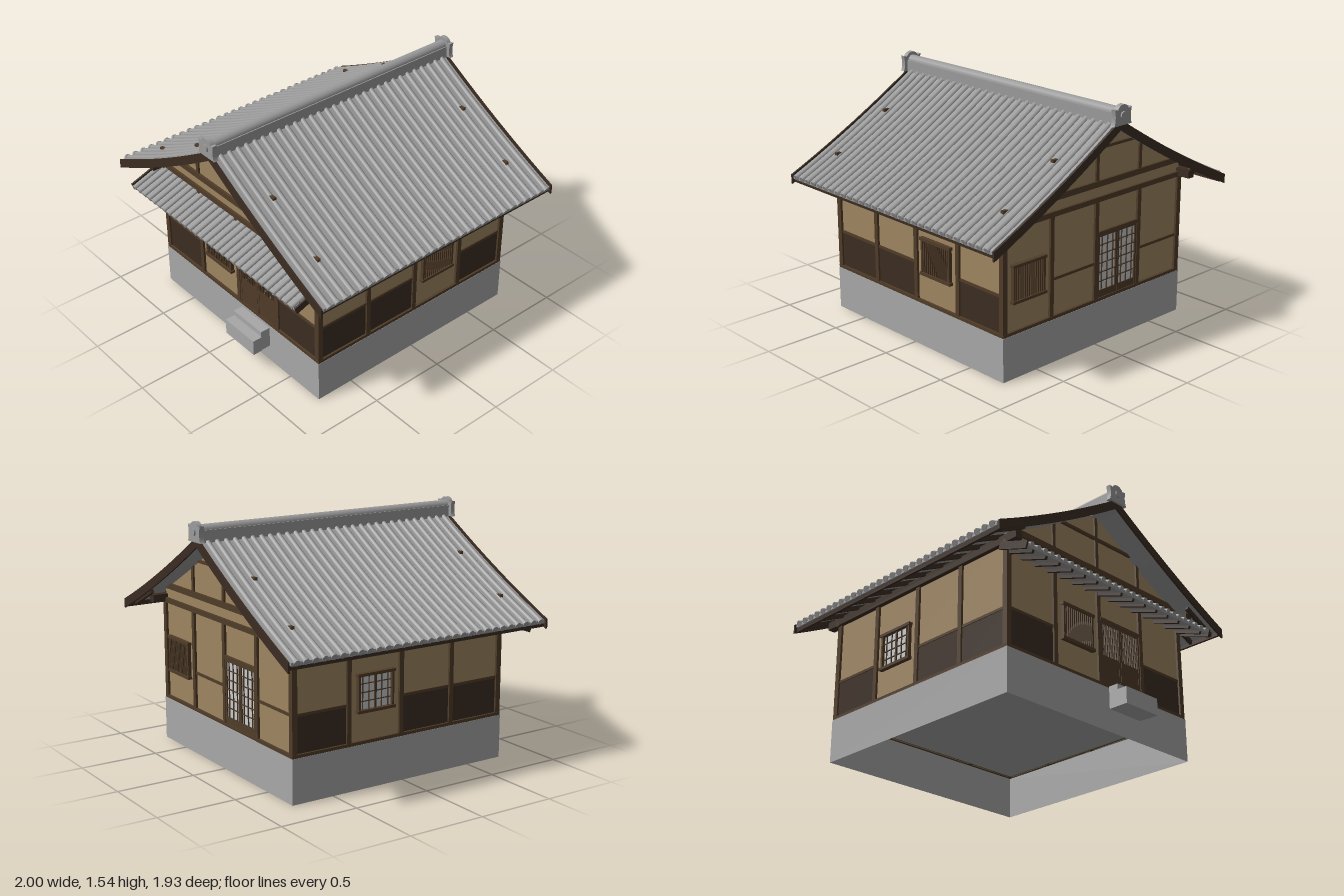
import * as THREE from 'three';

const mat = (name, color, side = THREE.FrontSide) => {
  const m = new THREE.MeshStandardMaterial({ color, side });
  m.name = name;
  return m;
};

export function createModel() {
  const stone = mat('stone', 0xa8a8a8, THREE.DoubleSide);
  const tile = mat('roof tile', 0x9b9b9b, THREE.DoubleSide);
  const plaster = mat('plaster', 0x9e8561);
  const beamWood = mat('beam wood', 0x503c28);
  const darkWood = mat('dark wood', 0x3b2c22);
  const paper = mat('paper', 0xc8cacc);

  const root = new THREE.Group();
  root.name = 'house';
  const house = new THREE.Group();
  house.name = 'building';
  house.position.z = -0.0125;
  root.add(house);

  const add = (parent, name, geo, material, x = 0, y = 0, z = 0) => {
    const m = new THREE.Mesh(geo, material);
    m.name = name;
    m.position.set(x, y, z);
    parent.add(m);
    return m;
  };
  // Box given by its limits
  const box = (parent, name, material, x0, x1, y0, y1, z0, z1) =>
    add(parent, name, new THREE.BoxGeometry(x1 - x0, y1 - y0, z1 - z0), material,
      (x0 + x1) / 2, (y0 + y1) / 2, (z0 + z1) / 2);

  const BASE = 0.275, W = 0.75;
  const roofY = x => 1.45 - 0.63 * Math.abs(x) + 0.085 * x * x;

  // Outline that follows the roof curve, between two offsets below it
  const roofBand = (half, top, bottom) => {
    const up = [], down = [];
    for (let i = -10; i <= 10; i++) {
      const x = (i / 10) * half;
      up.push(new THREE.Vector2(x, roofY(x) - top));
      down.unshift(new THREE.Vector2(x, roofY(x) - bottom));
    }
    return new THREE.Shape([...up, ...down]);
  };
  const extrude = (shape, depth) => new THREE.ExtrudeGeometry(shape, { depth, bevelEnabled: false, curveSegments: 10 });

  // Hollow foundation and floor
  for (let i = 0; i < 4; i++) {
    const holder = new THREE.Group();
    holder.name = 'foundationSide';
    holder.rotation.y = i * Math.PI / 2;
    house.add(holder);
    add(holder, 'foundationWall', new THREE.PlaneGeometry(1.535, BASE), stone, 0, BASE / 2, 0.7675);
  }
  const floor = add(house, 'floor', new THREE.PlaneGeometry(1.535, 1.535), stone, 0, BASE, 0);
  floor.rotation.x = -Math.PI / 2;

  // Entrance steps
  box(house, 'upperStep', stone, 0.05, 0.32, 0.135, 0.275, 0.78, 0.845);
  box(house, 'lowerStep', stone, 0.05, 0.325, 0.135, 0.24, 0.845, 0.91);

  // Bay fillings, each centred on u, facing local +z
  const wainscot = (g, u) => {
    box(g, 'wainscot', darkWood, u - 0.175, u + 0.175, 0.29, 0.52, W - 0.01, W + 0.003);
    box(g, 'wainscotRail', beamWood, u - 0.175, u + 0.175, 0.515, 0.532, W - 0.01, W + 0.008);
  };
  const midRail = (g, u) => box(g, 'middleRail', beamWood, u - 0.175, u + 0.175, 0.515, 0.532, W - 0.01, W + 0.008);
  const bars = (g, x0, x1, y0, y1, n, width, z) => {
    for (let i = 0; i < n; i++) {
      const x = x0 + (x1 - x0) * (i + 0.5) / n;
      box(g, 'latticeBar', beamWood, x - width / 2, x + width / 2, y0, y1, W, z);
    }
  };
  const windowFrame = (g, u) => {
    box(g, 'windowPaper', paper, u - 0.12, u + 0.12, 0.48, 0.69, W, W + 0.004);
    for (const y of [0.465, 0.685]) box(g, 'windowRail', beamWood, u - 0.135, u + 0.135, y, y + 0.018, W, W + 0.028);
    for (const s of [-0.12, 0.12]) box(g, 'windowStile', beamWood, u + s - 0.007, u + s + 0.007, 0.48, 0.69, W, W + 0.022);
  };
  const slatWindow = (g, u) => {
    windowFrame(g, u);
    bars(g, u - 0.113, u + 0.113, 0.48, 0.69, 13, 0.008, W + 0.02);
  };
  const grid = (g, x0, x1, y0, y1, cols, rows) => {
    bars(g, x0, x1, y0, y1, cols, 0.005, W + 0.011);
    for (let i = 1; i < rows; i++) {
      const y = y0 + (y1 - y0) * i / rows;
      box(g, 'latticeRail', beamWood, x0, x1, y - 0.0025, y + 0.0025, W, W + 0.011);
    }
  };
  const gridWindow = (g, u) => {
    windowFrame(g, u);
    grid(g, u - 0.113, u + 0.113, 0.48, 0.69, 5, 4);
    box(g, 'windowMeetingStile', beamWood, u - 0.006, u + 0.006, 0.48, 0.69, W, W + 0.014);
  };
  // Pair of sliding doors; paper begins at height low
  const doors = (g, u, low, fill) => {
    box(g, 'doorLintel', beamWood, u - 0.175, u + 0.175, 0.7, 0.72, W, W + 0.016);
    for (const s of [-1, 1]) {
      const x0 = u + s * 0.086 - 0.085, x1 = x0 + 0.17;
      box(g, 'doorLowerPanel', beamWood, x0, x1, 0.29, low, W, W + 0.01);
      box(g, 'doorPaper', paper, x0, x1, low, 0.7, W, W + 0.004);
      box(g, 'doorTopRail', beamWood, x0, x1, 0.685, 0.7, W, W + 0.012);
      for (const x of [x0, x1 - 0.014]) box(g, 'doorStile', beamWood, x, x + 0.014, 0.29, 0.7, W, W + 0.012);
      fill(x0 + 0.014, x1 - 0.014);
    }
  };
  const slatDoor = (g, u) => doors(g, u, 0.48, (a, b) => bars(g, a, b, 0.48, 0.69, 9, 0.006, W + 0.011));
  const gridDoor = (g, u) => doors(g, u, 0.34, (a, b) => grid(g, a, b, 0.34, 0.69, 3, 6));

  // Four sides, bays listed from left to right as seen from outside
  const sides = [
    ['frontWall', 0, [wainscot, slatWindow, slatDoor, wainscot]],
    ['rightWall', Math.PI / 2, [wainscot, wainscot, slatWindow, wainscot]],
    ['backWall', Math.PI, [slatWindow, midRail, gridDoor, midRail]],
    ['leftWall', -Math.PI / 2, [wainscot, gridWindow, wainscot, wainscot]],
  ];
  sides.forEach(([name, angle, bays], k) => {
    const g = new THREE.Group();
    g.name = name;
    g.rotation.y = angle;
    house.add(g);
    bays.forEach((bay, i) => bay(g, (i - 1.5) * 0.375));
    for (let i = -2; i <= 2; i++) {
      box(g, 'post', beamWood, i * 0.375 - 0.015, i * 0.375 + 0.015, BASE, 0.93, W - 0.02, W + 0.015);
    }
    box(g, 'sill', beamWood, -0.765, 0.765, BASE, 0.295, W - 0.02, W + 0.016);
    if (k % 2) {
      box(g, 'plasterWall', plaster, -W, W, BASE, 0.96, W - 0.02, W);
      return;
    }
    // Gable wall with its timber frame
    const shape = roofBand(W, 0.03, 0.03);
    const pts = shape.getPoints().slice(0, 21);
    const gable = new THREE.Shape([new THREE.Vector2(-W, BASE), ...pts, new THREE.Vector2(W, BASE)]);
    add(g, 'gablePlaster', extrude(gable, 0.02), plaster, 0, 0, W - 0.02);
    for (const [half, y0, y1] of [[0.78, 0.91, 0.942], [0.765, 1.005, 1.042], [0.378, 1.235, 1.252]]) {
      box(g, 'gableBeam', beamWood, -half, half, y0, y1, W - 0.005, W + 0.016);
    }
    for (const [x, top] of [[-0.375, 1.21], [0, 1.41], [0.375, 1.21]]) {
      box(g, 'gablePost', beamWood, x - 0.012, x + 0.012, 1.03, top, W - 0.01, W + 0.012);
    }
  });

  // Main roof: curved slab, gable boards, tile rolls
  add(house, 'roofSlab', extrude(roofBand(0.985, 0.008, 0.028), 1.82), tile, 0, 0, -0.91);
  for (const z of [-0.932, 0.92]) {
    add(house, 'bargeboard', extrude(roofBand(0.988, 0.002, 0.062), 0.012), darkWood, 0, 0, z);
  }
  const ROWS = 30, pitch = 1.81 / ROWS;
  const capGeo = new THREE.CylinderGeometry(0.02, 0.02, 0.02, 10);
  for (const s of [-1, 1]) {
    const pts = [0.03, 0.25, 0.5, 0.75, 0.985].map(x => new THREE.Vector3(s * x, roofY(x) - 0.01, 0));
    const rollGeo = new THREE.TubeGeometry(new THREE.CatmullRomCurve3(pts), 8, 0.017, 8);
    for (let i = 0; i < ROWS; i++) {
      const z = -0.905 + (i + 0.5) * pitch;
      add(house, 'tileRoll', rollGeo, tile, 0, 0, z);
      const cap = add(house, 'tileRollEnd', capGeo, tile, s * 0.983, roofY(0.983) - 0.01, z);
      cap.rotation.z = s * (Math.PI / 2 - 0.43);
    }
    // Eave board, purlin and rafters
    const e = box(house, 'eaveBoard', darkWood, -0.008, 0.008, 0.86, 0.888, -0.918, 0.918);
    e.position.x = s * 0.965;
    const p = box(house, 'purlin', darkWood, -0.025, 0.025, 0.915, 0.965, -0.85, 0.85);
    p.position.x = s * 0.755;
    for (let i = 0; i < 12; i++) {
      const r = add(house, 'rafter', new THREE.BoxGeometry(0.26, 0.025, 0.022), darkWood,
        s * 0.845, roofY(0.845) - 0.042, -0.86 + i * 1.72 / 11);
      r.rotation.z = -s * 0.455;
    }
  }

  // Ridge with end ornaments
  box(house, 'ridge', tile, -0.042, 0.042, 1.39, 1.49, -0.93, 0.93);
  const ridgeCap = add(house, 'ridgeCap', new THREE.CylinderGeometry(0.036, 0.036, 1.86, 14), tile, 0, 1.486, 0);
  ridgeCap.rotation.x = Math.PI / 2;
  const orn = new THREE.Shape();
  orn.moveTo(-0.075, 1.42);
  orn.quadraticCurveTo(-0.055, 1.45, -0.07, 1.52);
  orn.lineTo(-0.05, 1.515);
  orn.absarc(0, 1.492, 0.05, Math.PI * 0.85, Math.PI * 0.15, true);
  orn.lineTo(0.07, 1.52);
  orn.quadraticCurveTo(0.055, 1.45, 0.075, 1.42);
  for (const s of [-1, 1]) {
    add(house, 'ridgeEnd', extrude(orn, 0.03), tile, 0, 0, s * 0.93 - 0.015);
    const disc = add(house, 'ridgeEndDisc', new THREE.CylinderGeometry(0.023, 0.023, 0.015, 16), tile, 0, 1.48, s * 0.947);
    disc.rotation.x = Math.PI / 2;
  }

  // Front awning: tilted group whose local z runs down the slope
  const awning = new THREE.Group();
  awning.name = 'awning';
  awning.position.set(0, 0.895, 0.755);
  awning.rotation.x = 0.343;
  house.add(awning);
  box(awning, 'awningSlab', tile, -0.8, 0.8, -0.018, 0, 0, 0.225);
  const awningRoll = new THREE.CylinderGeometry(0.016, 0.016, 0.232, 10);
  for (let i = 0; i < 30; i++) {
    const r = add(awning, 'awningRoll', awningRoll, tile, -0.8 + (i + 0.5) * 1.6 / 30, 0.001, 0.114);
    r.rotation.x = Math.PI / 2;
  }
  for (const s of [-1, 1]) {
    box(awning, 'awningEndBoard', darkWood, s * 0.806 - 0.006, s * 0.806 + 0.006, -0.035, 0.012, 0, 0.225);
  }
  for (let i = 0; i < 15; i++) {
    const x = -0.74 + i * 1.48 / 14;
    box(awning, 'awningRafter', darkWood, x - 0.009, x + 0.009, -0.036, -0.018, 0, 0.21);
  }
  return root;
}
